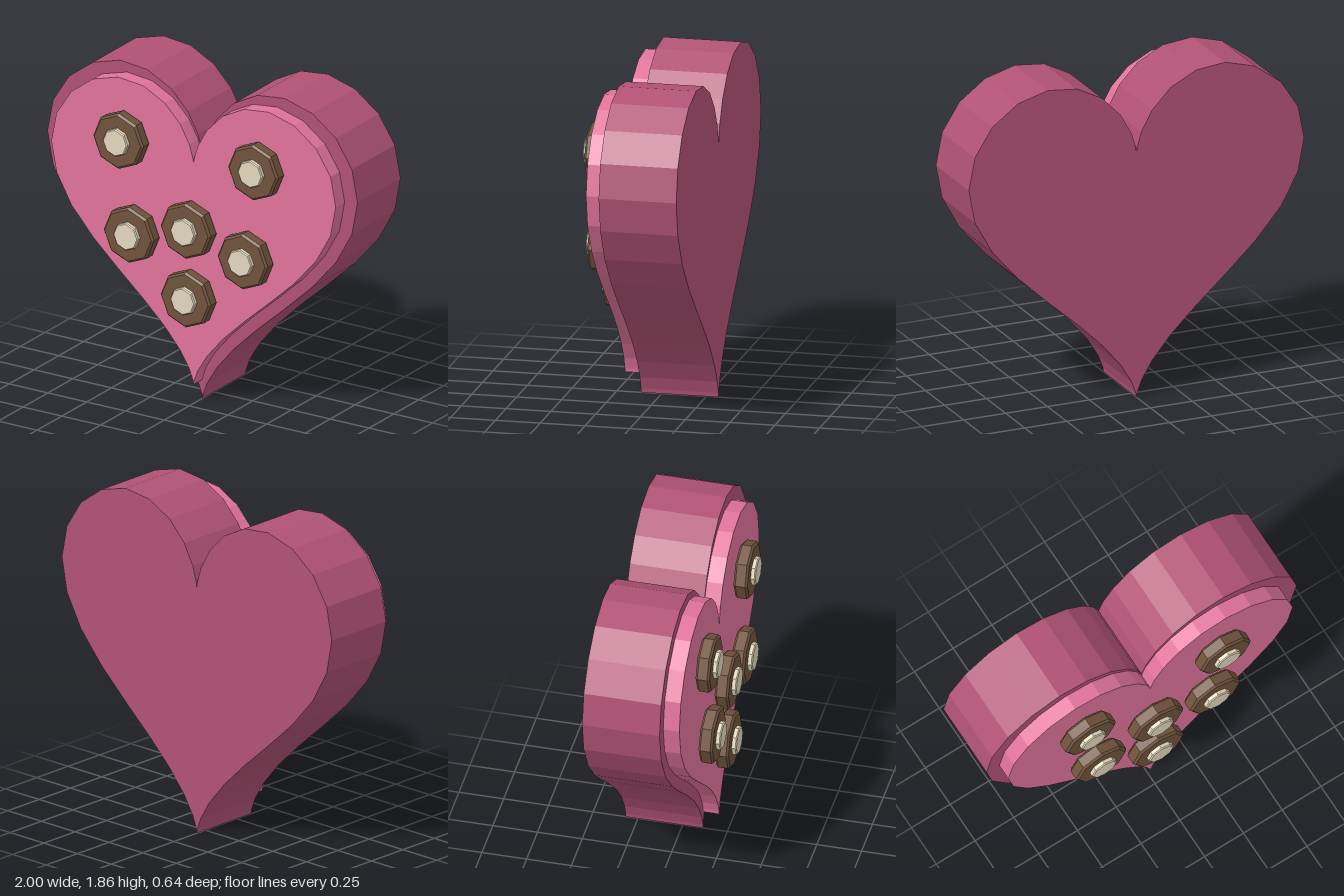
import * as THREE from 'three';

const material = (color) => new THREE.MeshStandardMaterial({ color, flatShading: true });

// Heart curve in 40 straight steps, extruded between two depths
function heart(name, halfWidth, bottom, top, back, front, mat) {
  const sx = halfWidth / 16;
  const sy = (top - bottom) / 28.9;
  const points = [];
  for (let i = 0; i < 40; i++) {
    const t = (i / 40) * Math.PI * 2;
    const v = 13 * Math.cos(t) - 5 * Math.cos(2 * t) - 2 * Math.cos(3 * t) - Math.cos(4 * t);
    points.push(new THREE.Vector2(sx * 16 * Math.sin(t) ** 3, bottom + sy * (v + 17)));
  }
  const geometry = new THREE.ExtrudeGeometry(new THREE.Shape(points), {
    depth: front - back, bevelEnabled: false,
  });
  geometry.translate(0, 0, back);
  const mesh = new THREE.Mesh(geometry, mat);
  mesh.name = name;
  return mesh;
}

// Eight-sided disc with chamfered rims, facing +z
function disc(radius, back, front, bevel) {
  const profile = [
    [0, back], [radius - bevel, back], [radius, back + bevel],
    [radius, front - bevel], [radius - bevel, front], [0, front],
  ].map(([r, z]) => new THREE.Vector2(r, z));
  return new THREE.LatheGeometry(profile, 8).rotateX(Math.PI / 2);
}

export function createModel() {
  const model = new THREE.Group();
  model.name = 'heartBox';

  // Box and raised lid
  model.add(heart('box', 1, 0, 1.86, -0.318, 0.115, material(0xb05274)));
  model.add(heart('lid', 0.917, 0.11, 1.8, 0.1, 0.205, material(0xe0739a)));

  // Chocolates with cream tops
  const chocolateGeometry = disc(0.162, 0.215, 0.293, 0.012);
  const creamGeometry = disc(0.08, 0.28, 0.319, 0.006);
  const chocolateMaterial = material(0x70533c);
  const creamMaterial = material(0xe3d8bc);
  const centres = [[0, 1.03], [0, 0.63]];
  for (const side of [-1, 1]) centres.push([side * 0.435, 1.463], [side * 0.367, 0.93]);
  for (const [x, y] of centres) {
    const sweet = new THREE.Group();
    sweet.name = 'sweet';
    const chocolate = new THREE.Mesh(chocolateGeometry, chocolateMaterial);
    chocolate.name = 'chocolate';
    const cream = new THREE.Mesh(creamGeometry, creamMaterial);
    cream.name = 'creamTop';
    sweet.add(chocolate, cream);
    sweet.position.set(x, y, 0);
    model.add(sweet);
  }
  return model;
}
